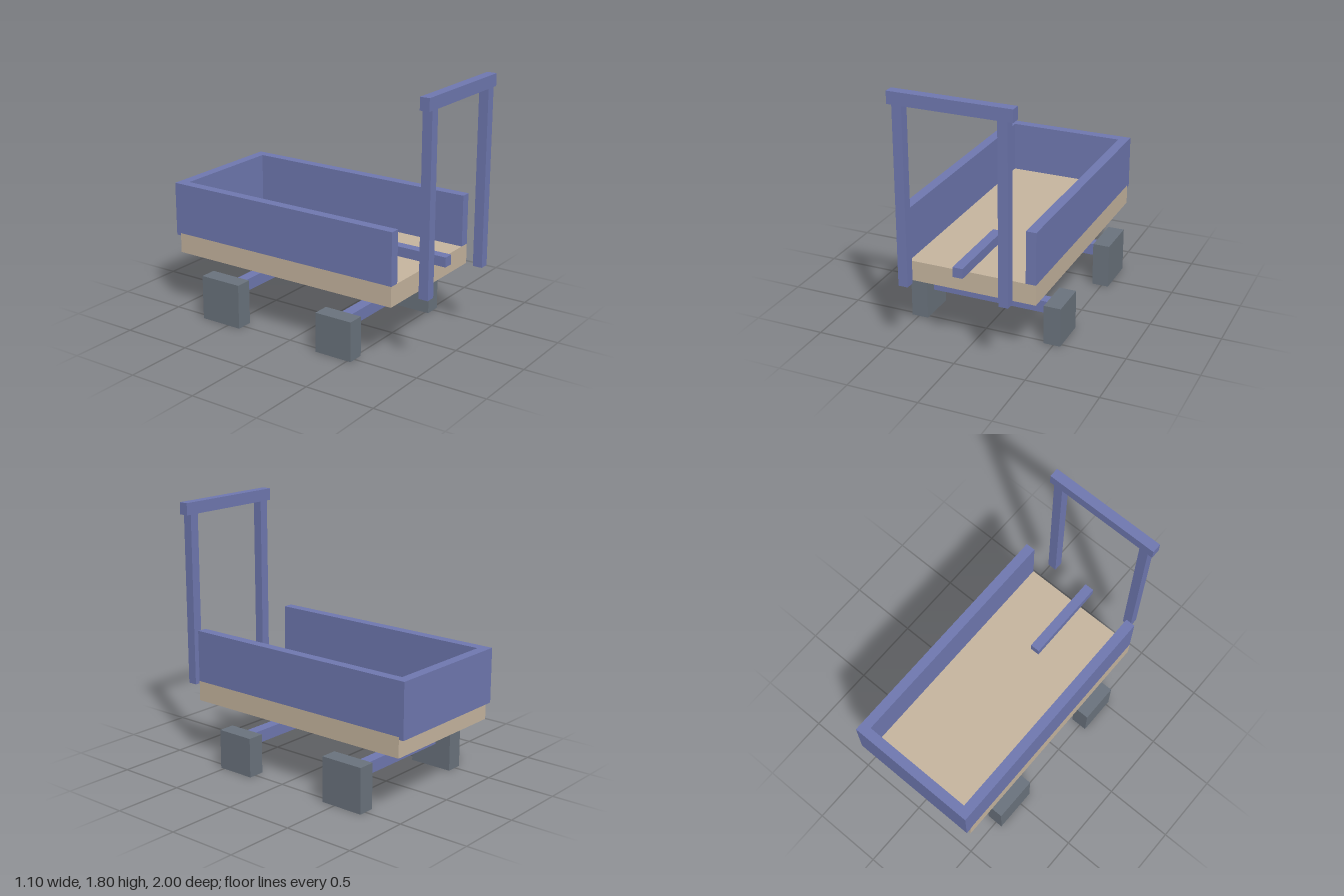
import * as THREE from 'three';

const blue = new THREE.MeshStandardMaterial({ color: 0x6f78b0 });
const tan = new THREE.MeshStandardMaterial({ color: 0xc6b59f });
const grey = new THREE.MeshStandardMaterial({ color: 0x6a737d });

export function createModel() {
  const cart = new THREE.Group();
  cart.name = 'pushCart';

  // box given by its [min, max] extents on each axis
  const block = (name, material, [x0, x1], [y0, y1], [z0, z1]) => {
    const mesh = new THREE.Mesh(new THREE.BoxGeometry(x1 - x0, y1 - y0, z1 - z0), material);
    mesh.position.set((x0 + x1) / 2, (y0 + y1) / 2, (z0 + z1) / 2);
    mesh.name = name;
    cart.add(mesh);
  };
  // the same block on the left (+x) and right (-x)
  const pair = (name, material, [x0, x1], y, z) => {
    block(name + 'Left', material, [x0, x1], y, z);
    block(name + 'Right', material, [-x1, -x0], y, z);
  };

  // load bed with three walls, open at the front
  block('bed', tan, [-0.483, 0.483], [0.423, 0.565], [-0.965, 0.79]);
  pair('sideWall', blue, [0.413, 0.483], [0.565, 0.93], [-0.93, 0.79]);
  block('backWall', blue, [-0.483, 0.483], [0.547, 0.93], [-1, -0.93]);

  // push handle and the bar reaching towards it
  block('drawbar', blue, [-0.035, 0.035], [0.583, 0.652], [0.305, 0.922]);
  pair('handlePost', blue, [0.318, 0.385], [0.485, 1.715], [0.932, 1]);
  block('handleGrip', blue, [-0.42, 0.42], [1.715, 1.8], [0.932, 1]);

  // square wheels, larger at the back, joined by axles
  const sets = [
    ['front', 0.388, 0.28],
    ['rear', -0.56, 0.318],
  ];
  for (const [end, z, size] of sets) {
    pair(end + 'Wheel', grey, [0.43, 0.55], [0, size], [z - size / 2, z + size / 2]);
    block(end + 'Axle', blue, [-0.435, 0.435], [0.17, 0.256], [z - 0.04, z + 0.04]);
  }

  return cart;
}
